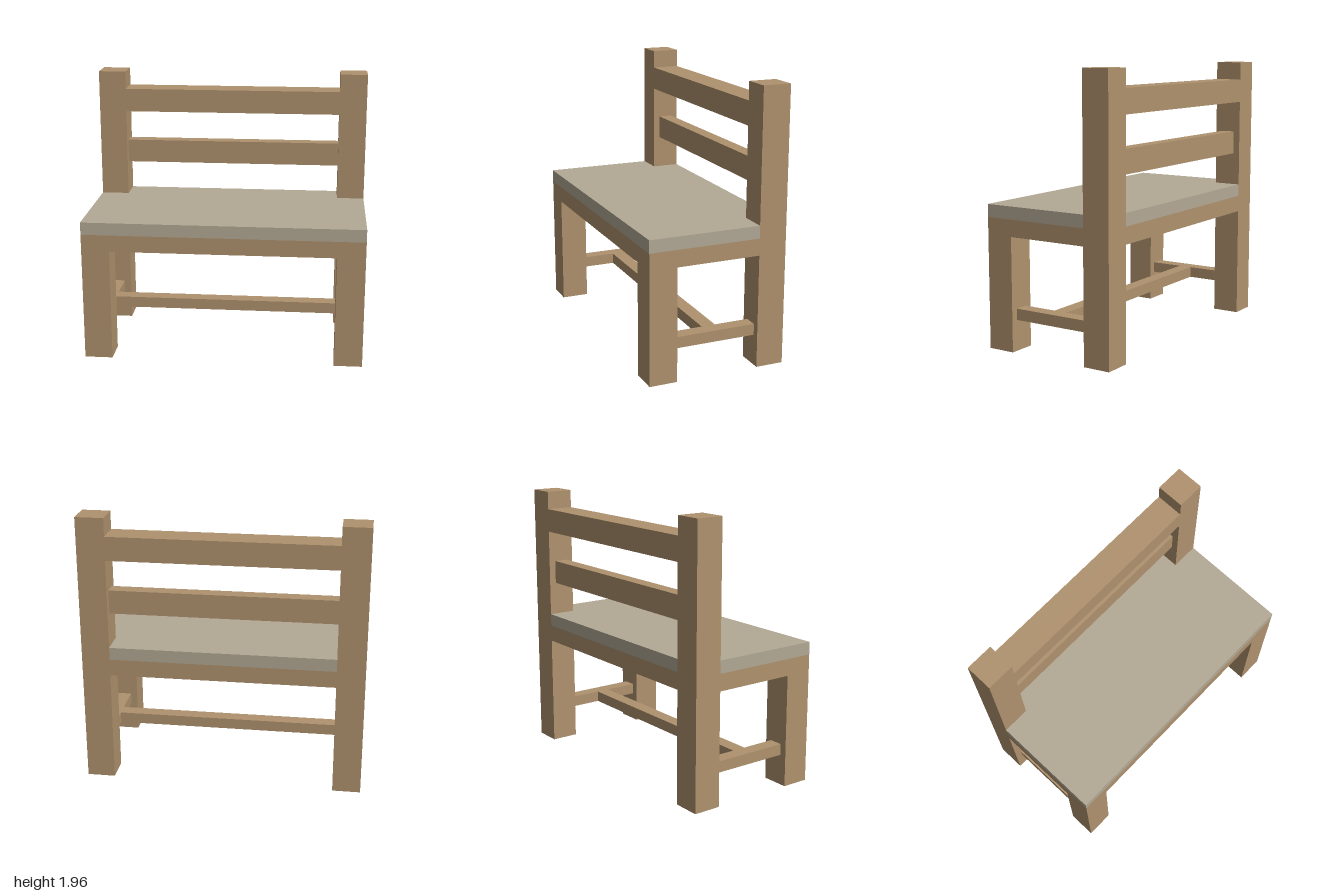
import * as THREE from 'three';

export function createModel() {
  const group = new THREE.Group();
  group.name = 'bench';
  const wood = new THREE.MeshStandardMaterial({ name: 'wood', color: 0xb0926e });
  const cushion = new THREE.MeshStandardMaterial({ name: 'seatGrey', color: 0xb3a995 });

  function add(name, geometry, material = wood) {
    const mesh = new THREE.Mesh(geometry, material);
    mesh.name = name;
    group.add(mesh);
    return mesh;
  }

  // box given by its min and max on each axis
  function bar(name, [x0, x1], [y0, y1], [z0, z1]) {
    add(name, new THREE.BoxGeometry(x1 - x0, y1 - y0, z1 - z0))
      .position.set((x0 + x1) / 2, (y0 + y1) / 2, (z0 + z1) / 2);
  }

  // slab notched at both back corners to fit between the posts
  function slab(name, y0, y1, material) {
    const outline = new THREE.Shape([
      [-1, -0.5], [1, -0.5], [1, 0.3], [0.8, 0.3],
      [0.8, 0.5], [-0.8, 0.5], [-0.8, 0.3], [-1, 0.3],
    ].map(([x, y]) => new THREE.Vector2(x, y)));
    const geometry = new THREE.ExtrudeGeometry(outline, { depth: y1 - y0, bevelEnabled: false });
    geometry.rotateX(-Math.PI / 2);
    add(name, geometry, material).position.y = y0;
  }

  // legs, back posts and side stretchers
  for (const [side, s] of [['left', 1], ['right', -1]]) {
    const span = (a, b) => (s > 0 ? [a, b] : [-b, -a]);
    bar(side + 'FrontLeg', span(0.8, 1), [0, 0.81], [0.3, 0.5]);
    bar(side + 'BackPost', span(0.8, 1), [0, 1.96], [-0.5, -0.3]);
    bar(side + 'Stretcher', span(0.85, 0.95), [0.22, 0.3], [-0.3, 0.3]);
  }

  // long stretcher joining the side stretchers
  bar('longStretcher', [-0.85, 0.85], [0.22, 0.3], [-0.05, 0.05]);

  // seat
  slab('seatBase', 0.81, 0.93, wood);
  slab('seatTop', 0.93, 1.02, cushion);

  // backrest rails
  bar('middleRail', [-0.8, 0.8], [1.26, 1.43], [-0.45, -0.35]);
  bar('topRail', [-0.8, 0.8], [1.66, 1.83], [-0.5, -0.3]);

  return group;
}
